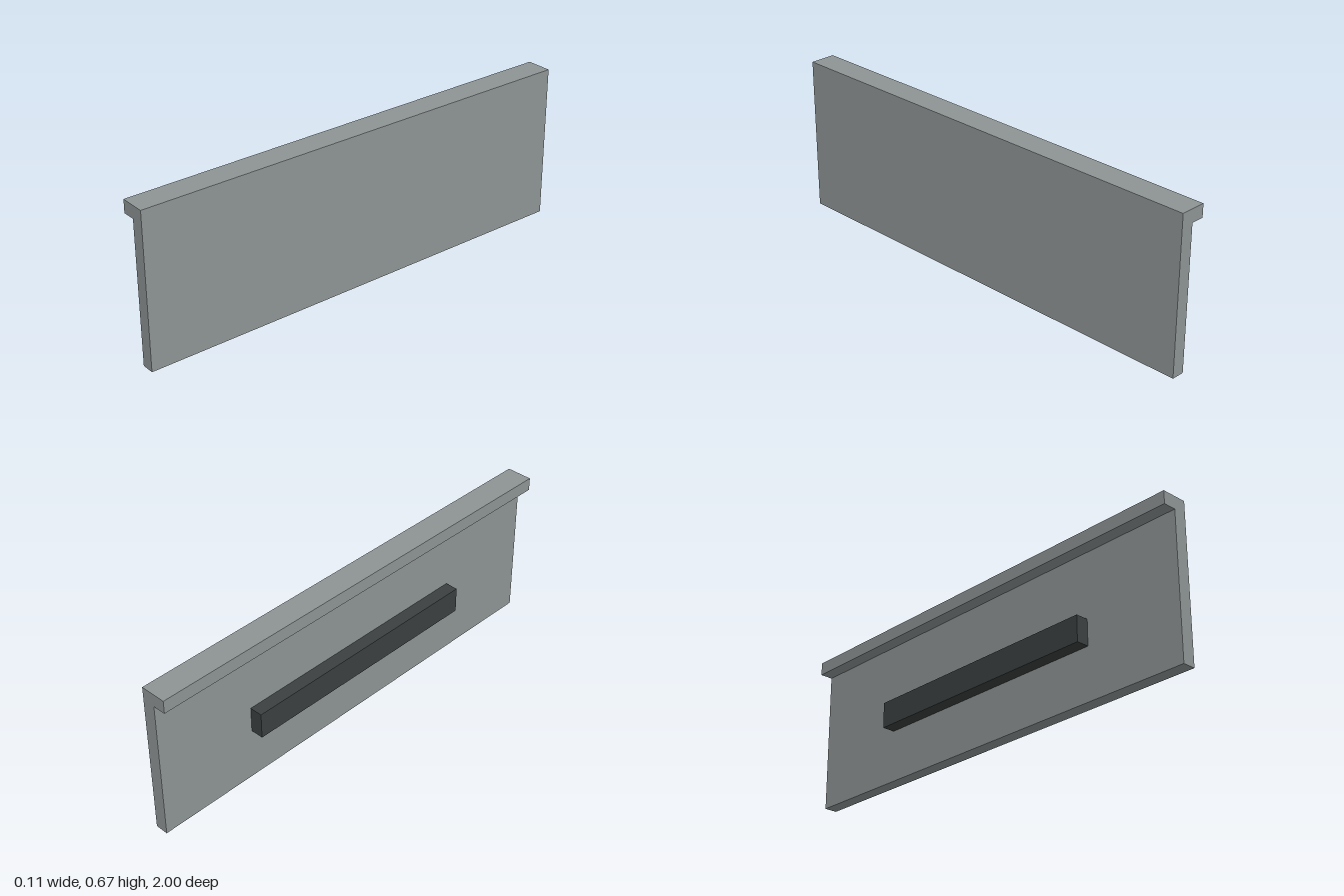
import * as THREE from 'three';

export function createModel() {
  const model = new THREE.Group();
  const grey = new THREE.MeshStandardMaterial({ color: 0x8e9494 });
  grey.name = 'grey';
  const charcoal = new THREE.MeshStandardMaterial({ color: 0x3b4040 });
  charcoal.name = 'charcoal';

  const t = 0.0556; // panel thickness and lip depth
  const height = 0.667;
  const length = 2;

  // Upright panel with a lip along its top edge
  const profile = new THREE.Shape([
    [0, 0], [t, 0], [t, height], [-t, height], [-t, height - t], [0, height - t],
  ].map(([x, y]) => new THREE.Vector2(x, y)));
  const panelGeometry = new THREE.ExtrudeGeometry(profile, { depth: length, bevelEnabled: false });
  panelGeometry.translate(0, 0, -length / 2);
  const panel = new THREE.Mesh(panelGeometry, grey);
  panel.name = 'lippedPanel';
  model.add(panel);

  // Grip bar on the lip side
  const bar = new THREE.Mesh(new THREE.BoxGeometry(t, 0.111, 1.111), charcoal);
  bar.position.set(-t / 2, 0.278, 0);
  bar.name = 'gripBar';
  model.add(bar);

  return model;
}
